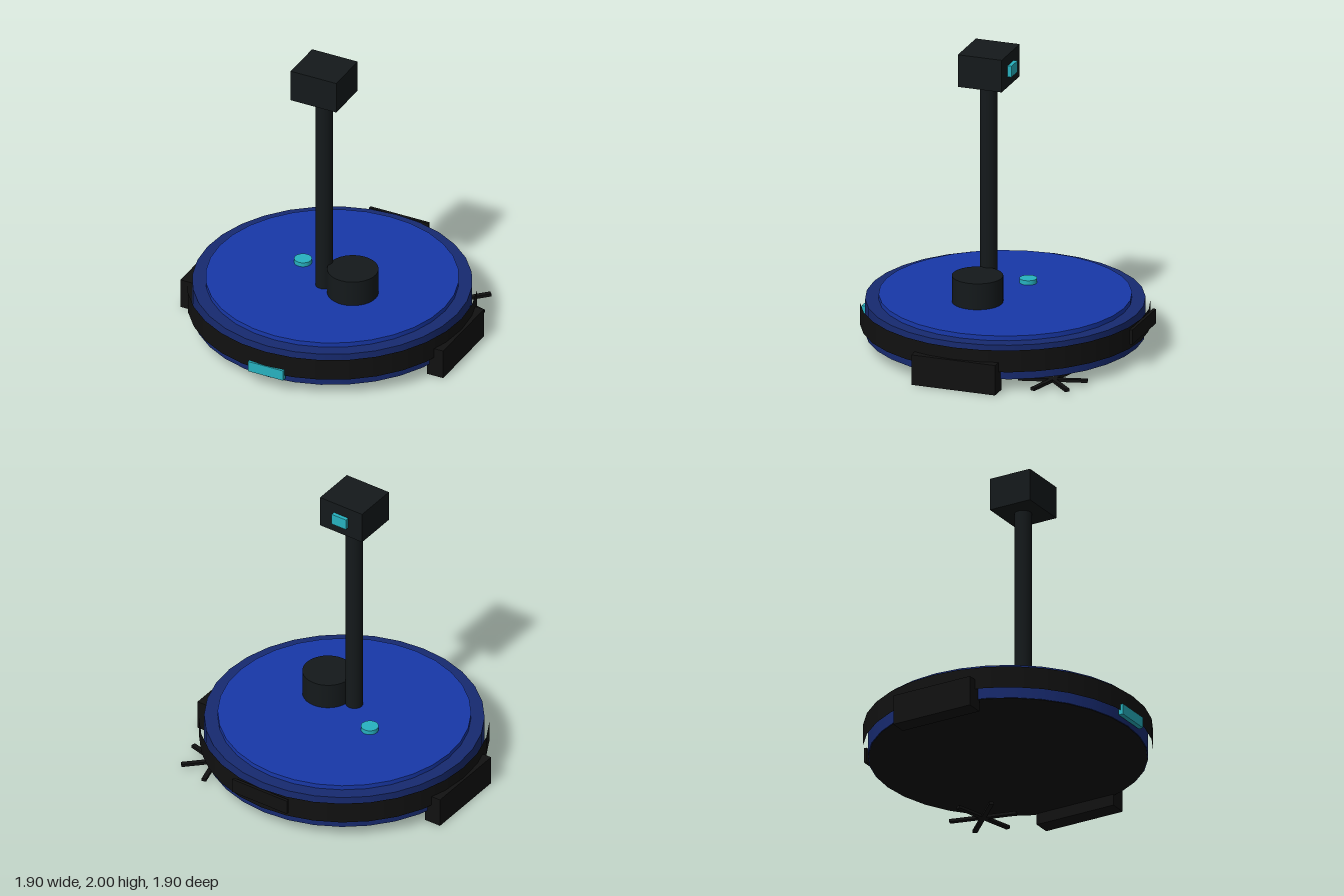
import * as THREE from 'three';

const mat = (color, extra = {}) => new THREE.MeshStandardMaterial({ color, ...extra });
const navy = mat(0x172a70);
const blue = mat(0x1838a8);
const black = mat(0x111111);
const charcoal = mat(0x14191b);
const teal = mat(0x27b2c0);

const CZ = 0.007; // centre of the round body along z

export function createModel() {
  const model = new THREE.Group();

  const add = (name, geometry, material, x, y, z) => {
    const mesh = new THREE.Mesh(geometry, material);
    mesh.name = name;
    mesh.position.set(x, y, z);
    model.add(mesh);
    return mesh;
  };
  // Box and upright cylinder placed by their bottom and top heights
  const box = (name, m, w, d, y0, y1, x, z) =>
    add(name, new THREE.BoxGeometry(w, y1 - y0, d), m, x, (y0 + y1) / 2, z);
  const disc = (name, m, r, y0, y1, x, z, sides = 32, open = false) =>
    add(name, new THREE.CylinderGeometry(r, r, y1 - y0, sides, 1, open), m, x, (y0 + y1) / 2, z);

  // Round body, with a dark underside and a raised lid
  disc('body', navy, 0.905, 0.08, 0.312, 0, CZ);
  disc('underside', black, 0.9, 0.077, 0.085, 0, CZ);
  disc('lid', blue, 0.818, 0.312, 0.344, 0, CZ);

  // Bumper: an open band standing just off the body
  disc('bumper', black, 0.937, 0.138, 0.287, 0, CZ, 32, true);
  box('frontSensor', teal, 0.254, 0.033, 0.108, 0.181, 0, 0.933);
  box('rearPlate', black, 0.43, 0.02, 0.185, 0.285, 0, -0.94);

  // Wheel blocks
  for (const side of [-1, 1]) {
    box(side > 0 ? 'leftWheel' : 'rightWheel', black, 0.117, 0.577, 0, 0.205, side * 0.894, CZ);
  }

  // Side brush: three crossed bars make six bristles
  const brush = new THREE.Group();
  brush.name = 'sideBrush';
  brush.position.set(0.62, 0.032, -0.555);
  for (let i = 0; i < 3; i++) {
    const bar = new THREE.Mesh(new THREE.BoxGeometry(0.45, 0.02, 0.03), black);
    bar.name = 'bristleBar';
    bar.rotation.y = Math.PI / 4 + (i * Math.PI) / 3;
    brush.add(bar);
  }
  model.add(brush);

  // Turret and button on the lid
  disc('turret', charcoal, 0.166, 0.344, 0.522, 0.207, 0.12);
  disc('button', teal, 0.057, 0.344, 0.374, -0.246, -0.059);

  // Mast carrying a camera head that looks backwards
  disc('mast', charcoal, 0.057, 0.344, 1.78, 0, 0.121, 16);
  box('cameraHead', charcoal, 0.33, 0.302, 1.78, 2, 0, 0.121);
  box('cameraLens', teal, 0.112, 0.04, 1.85, 1.926, 0, -0.036);

  return model;
}
